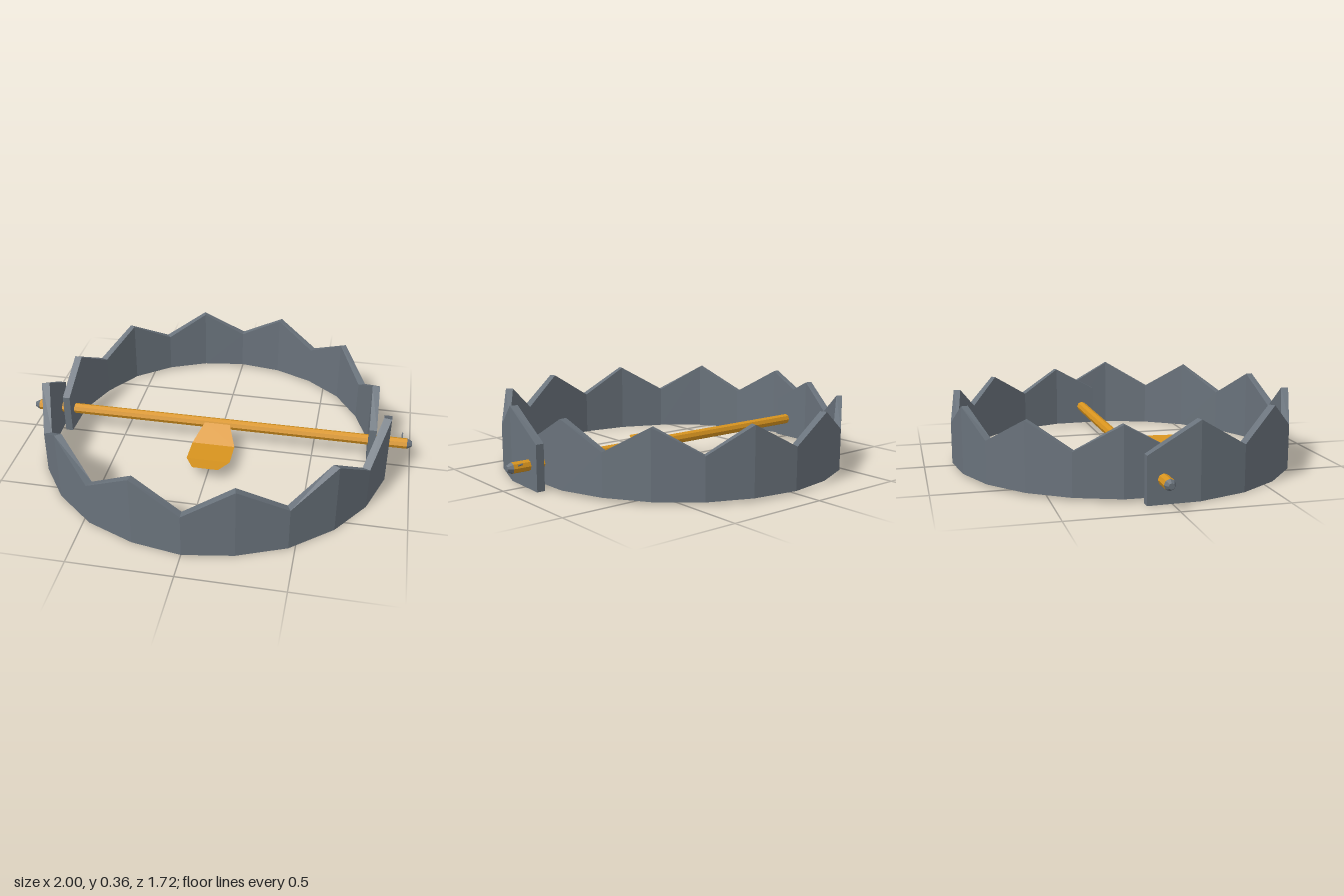
import * as THREE from 'three';

const steel = new THREE.MeshStandardMaterial({ color: 0x69727b });
steel.name = 'steel';
const brass = new THREE.MeshStandardMaterial({ color: 0xd8941f, side: THREE.DoubleSide });
brass.name = 'brass';

// Flat-faced geometry from a list of quads (each four Vector3 corners)
function quadGeometry(quads) {
  const points = quads.flatMap(([a, b, c, d]) => [a, b, c, a, c, d]);
  const geometry = new THREE.BufferGeometry().setFromPoints(points);
  geometry.computeVertexNormals();
  return geometry;
}

function addMesh(parent, name, geometry, material) {
  const mesh = new THREE.Mesh(geometry, material);
  mesh.name = name;
  parent.add(mesh);
  return mesh;
}

// Toothed half ring: outer and inner [x, z] from the middle to the hinge end
function jawGeometry(outer, inner, base, valley, peak, order) {
  const last = outer.length - 1;
  const sections = [];
  for (let i = -last; i <= last; i++) {
    const side = Math.sign(i) * order;
    const k = Math.abs(i);
    const top = k % 2 ? peak : valley;
    const at = ([x, z], y) => new THREE.Vector3(x * side, y, z);
    sections.push([at(outer[k], base), at(outer[k], top), at(inner[k], top), at(inner[k], base)]);
  }
  const quads = [sections[0], [...sections[2 * last]].reverse()];
  for (let i = 0; i < 2 * last; i++) {
    const a = sections[i], b = sections[i + 1];
    for (let k = 0; k < 4; k++) {
      const n = (k + 1) % 4;
      quads.push([a[k], b[k], b[n], a[n]]);
    }
  }
  return quadGeometry(quads);
}

export function createModel() {
  const model = new THREE.Group();
  model.name = 'jawTrap';

  // Jaws: the wider front one overlaps the back one at the hinge
  addMesh(model, 'frontJaw', jawGeometry(
    [[0, 0.86], [0.24, 0.82], [0.47, 0.725], [0.665, 0.56], [0.8, 0.365], [0.88, 0.13], [0.89, -0.115]],
    [[0, 0.82], [0.232, 0.785], [0.452, 0.69], [0.635, 0.54], [0.764, 0.35], [0.842, 0.122], [0.85, -0.115]],
    0, 0.22, 0.36, 1), steel);
  addMesh(model, 'backJaw', jawGeometry(
    [[0, -0.863], [0.226, -0.828], [0.432, -0.74], [0.61, -0.59], [0.735, -0.405], [0.812, -0.195], [0.818, 0.03]],
    [[0, -0.827], [0.217, -0.795], [0.412, -0.71], [0.585, -0.573], [0.702, -0.39], [0.775, -0.19], [0.781, 0.03]],
    0.013, 0.217, 0.34, -1), steel);

  // Hinge rod with tapered end caps
  const axle = new THREE.Group();
  axle.name = 'hingeRod';
  axle.position.set(0, 0.112, -0.04);
  model.add(axle);
  const rod = new THREE.CylinderGeometry(0.027, 0.027, 1.95, 8).toNonIndexed();
  rod.rotateZ(Math.PI / 2);
  rod.computeVertexNormals();
  addMesh(axle, 'rod', rod, brass);
  for (const side of [-1, 1]) {
    const cap = new THREE.CylinderGeometry(0.014, 0.027, 0.025, 8).toNonIndexed();
    cap.rotateZ(-side * Math.PI / 2);
    cap.translate(side * 0.9875, 0, 0);
    cap.computeVertexNormals();
    addMesh(axle, side > 0 ? 'leftCap' : 'rightCap', cap, steel);
  }

  // Small locking pin sticking out behind the left end
  const pin = addMesh(axle, 'lockPin', new THREE.CylinderGeometry(0.004, 0.004, 0.07, 6), steel);
  pin.position.set(0.95, 0.012, -0.022);
  pin.rotation.x = -1.2;

  // Trigger pan: rows of [z, y, half width], bent down from the rod
  const rows = [[-0.02, 0.125, 0.065], [0.09, 0.065, 0.11], [0.23, 0.068, 0.11], [0.31, 0.075, 0.065]];
  const panQuads = [];
  for (let i = 0; i < rows.length - 1; i++) {
    const [z0, y0, w0] = rows[i];
    const [z1, y1, w1] = rows[i + 1];
    panQuads.push([
      new THREE.Vector3(-w0, y0, z0), new THREE.Vector3(-w1, y1, z1),
      new THREE.Vector3(w1, y1, z1), new THREE.Vector3(w0, y0, z0)]);
  }
  addMesh(model, 'triggerPan', quadGeometry(panQuads), brass);

  return model;
}
